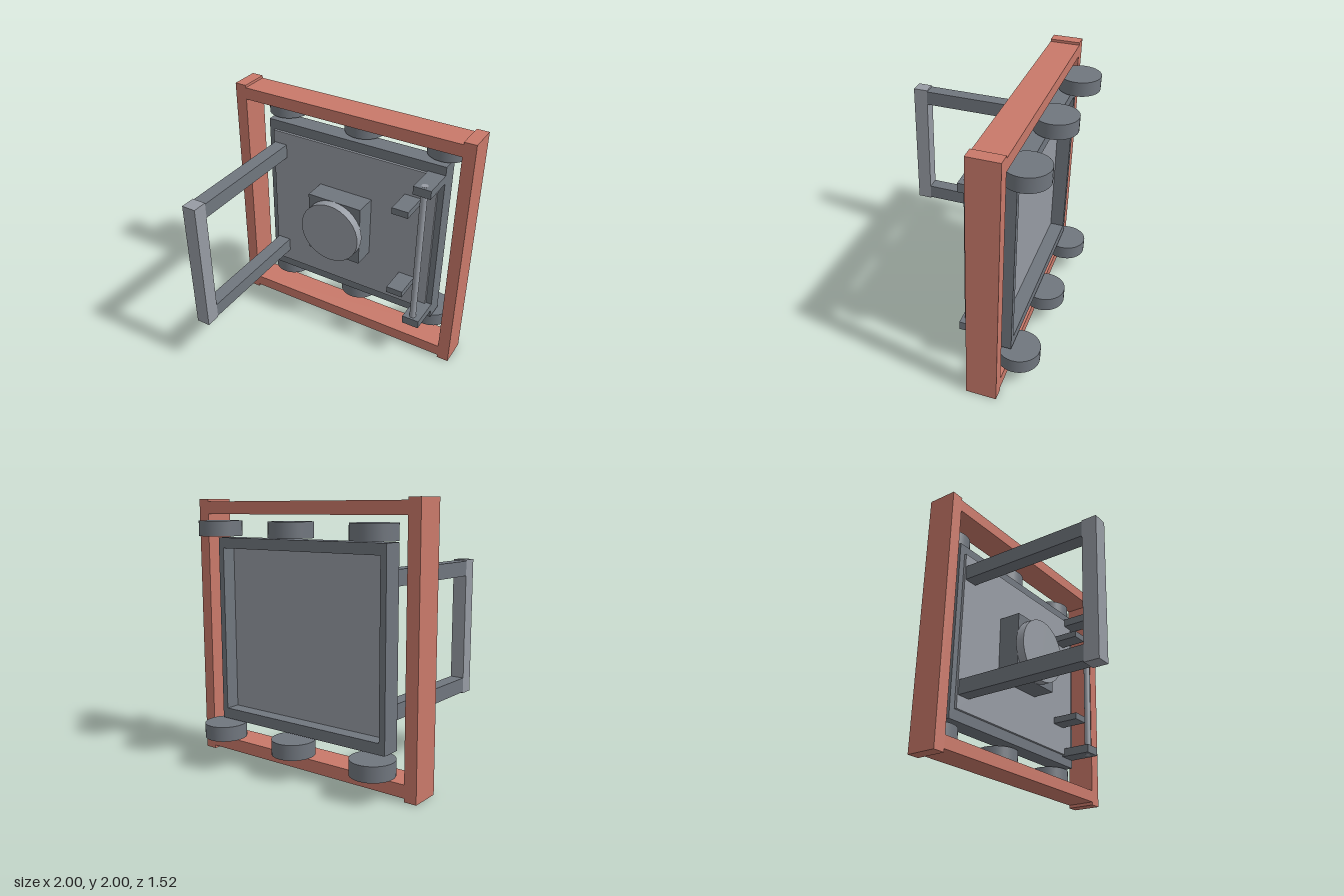
import * as THREE from 'three';

export function createModel() {
  const model = new THREE.Group();
  const mat = (name, color) => {
    const m = new THREE.MeshStandardMaterial({ color });
    m.name = name;
    return m;
  };
  const red = mat('red paint', 0xc9796a);
  const light = mat('light steel', 0x969ba3);
  const dark = mat('dark steel', 0x70767e);

  const add = (name, geometry, material, x, y, z) => {
    const mesh = new THREE.Mesh(geometry, material);
    mesh.name = name;
    mesh.position.set(x, y, z);
    model.add(mesh);
    return mesh;
  };
  // Box given by its extents on each axis
  const box = (name, material, [x0, x1], [y0, y1], [z0, z1]) =>
    add(name, new THREE.BoxGeometry(x1 - x0, y1 - y0, z1 - z0), material,
      (x0 + x1) / 2, (y0 + y1) / 2, (z0 + z1) / 2);

  // Outer frame: two posts and two rails
  const frameZ = [-0.53, -0.3];
  box('leftPost', red, [0.905, 1], [0, 2], frameZ);
  box('rightPost', red, [-1, -0.905], [0, 2], frameZ);
  box('bottomRail', red, [-0.905, 0.905], [0.025, 0.12], frameZ);
  box('topRail', red, [-0.905, 0.905], [1.885, 1.98], frameZ);

  // Door: dark border around a light plate, recessed at the back
  const rect = (target, x0, x1, y0, y1) => {
    target.moveTo(x0, y0);
    target.lineTo(x1, y0);
    target.lineTo(x1, y1);
    target.lineTo(x0, y1);
    target.closePath();
    return target;
  };
  const border = rect(new THREE.Shape(), -0.768, 0.765, 0.295, 1.71);
  border.holes.push(rect(new THREE.Path(), -0.72, 0.717, 0.377, 1.63));
  add('doorBorder', new THREE.ExtrudeGeometry(border, { depth: 0.15, bevelEnabled: false }),
    dark, 0, 0, -0.56);
  box('doorPlate', light, [-0.72, 0.717], [0.377, 1.63], [-0.45, -0.39]);

  // Round knob on a square block
  box('knobBlock', dark, [-0.28, 0.185], [0.75, 1.26], [-0.4, -0.21]);
  const knob = add('knob', new THREE.CylinderGeometry(0.255, 0.255, 0.07, 32), light, -0.05, 1.005, -0.175);
  knob.rotation.x = Math.PI / 2;

  // Pull handle
  const handleX = [-0.71, -0.6];
  box('handleGrip', light, handleX, [0.47, 1.535], [0.645, 0.76]);
  for (const y of [0.48, 1.41]) box('handleArm', dark, handleX, [y, y + 0.115], [-0.4, 0.645]);

  // Hinge rod, its brackets and the two small lugs
  for (const y of [0.363, 1.573]) box('hingeBracket', dark, [0.625, 0.765], [y, y + 0.068], [-0.41, -0.16]);
  add('hingeRod', new THREE.CylinderGeometry(0.026, 0.026, 1.28, 24), light, 0.695, 1.002, -0.205);
  for (const y of [0.605, 1.35]) box('lug', dark, [0.465, 0.6], [y, y + 0.053], [-0.4, -0.17]);

  // Rollers above and below the door
  const roller = new THREE.CylinderGeometry(0.161, 0.161, 0.113, 32);
  for (const y of [0.224, 1.782])
    for (const x of [-0.698, 0, 0.697]) add('roller', roller, dark, x, y, -0.6);

  return model;
}
